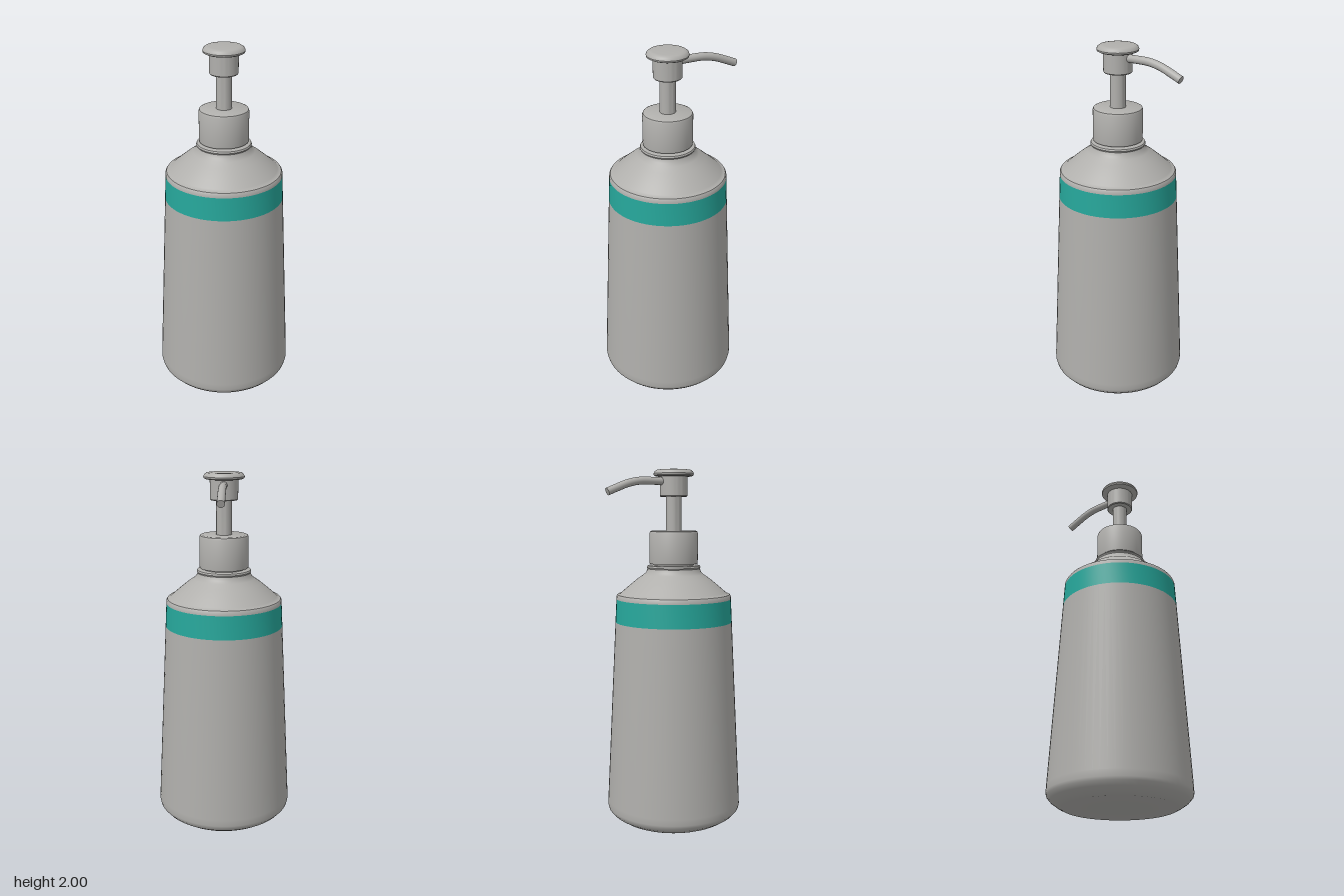
import * as THREE from 'three';
import { toCreasedNormals } from 'three/addons/utils/BufferGeometryUtils.js';

const grey = new THREE.MeshStandardMaterial({ color: 0xb0afac });
grey.name = 'grey plastic';
const teal = new THREE.MeshStandardMaterial({ color: 0x26a69a });
teal.name = 'teal band';

// Turned part from [radius, height] pairs, listed from bottom to top
function turned(name, profile, material = grey, segments = 64) {
  const points = profile.map(([r, y]) => new THREE.Vector2(r, y));
  const geometry = toCreasedNormals(new THREE.LatheGeometry(points, segments), 0.6);
  const mesh = new THREE.Mesh(geometry, material);
  mesh.name = name;
  return mesh;
}

export function createModel() {
  const model = new THREE.Group();
  model.name = 'pumpBottle';

  // Everything turned shares one axis, slightly forward of centre
  const bottle = new THREE.Group();
  bottle.name = 'bottle';
  bottle.position.z = 0.008;
  model.add(bottle);

  // Tapered body with a bevelled foot
  bottle.add(turned('body', [
    [0, 0], [0.305, 0], [0.33, 0.012], [0.365, 0.036], [0.384, 0.058],
    [0.388, 0.075], [0.387, 0.11], [0.332, 1.155],
  ]));
  bottle.add(turned('band', [[0.332, 1.155], [0.325, 1.285]], teal));

  // Rim, sloping shoulder and neck ring
  bottle.add(turned('shoulder', [
    [0.325, 1.285], [0.324, 1.302], [0.318, 1.311], [0.305, 1.314], [0.296, 1.322],
    [0.255, 1.357], [0.205, 1.398], [0.17, 1.422], [0.155, 1.436], [0.148, 1.455],
    [0.152, 1.463], [0.148, 1.472], [0.138, 1.475], [0.115, 1.475], [0.115, 1.49],
  ]));

  // Screw cap and pump stem
  bottle.add(turned('cap', [
    [0, 1.483], [0.135, 1.483], [0.136, 1.49], [0.136, 1.652], [0.132, 1.662],
    [0.124, 1.666], [0, 1.666],
  ]));
  bottle.add(turned('stem', [[0.043, 1.66], [0.043, 1.86]], grey, 32));

  // Pump head with a flared, rounded button
  bottle.add(turned('pumpHead', [
    [0, 1.853], [0.073, 1.853], [0.077, 1.858], [0.077, 1.962], [0.1, 1.964],
    [0.11, 1.969], [0.112, 1.978], [0.107, 1.99], [0.095, 1.998], [0.08, 2], [0, 2],
  ]));

  // Spout, curving down at the back
  const path = new THREE.CatmullRomCurve3([
    [1.935, -0.04], [1.937, -0.12], [1.936, -0.2], [1.922, -0.27], [1.9, -0.33], [1.875, -0.392],
  ].map(([y, z]) => new THREE.Vector3(0, y, z)));
  const spout = new THREE.Mesh(new THREE.TubeGeometry(path, 24, 0.021, 20), grey);
  spout.name = 'spout';
  model.add(spout);

  // Flat end of the spout
  const tip = new THREE.Mesh(new THREE.CircleGeometry(0.021, 20), grey);
  tip.name = 'spoutTip';
  tip.position.copy(path.getPoint(1));
  tip.lookAt(tip.position.clone().add(path.getTangent(1)));
  model.add(tip);

  return model;
}
